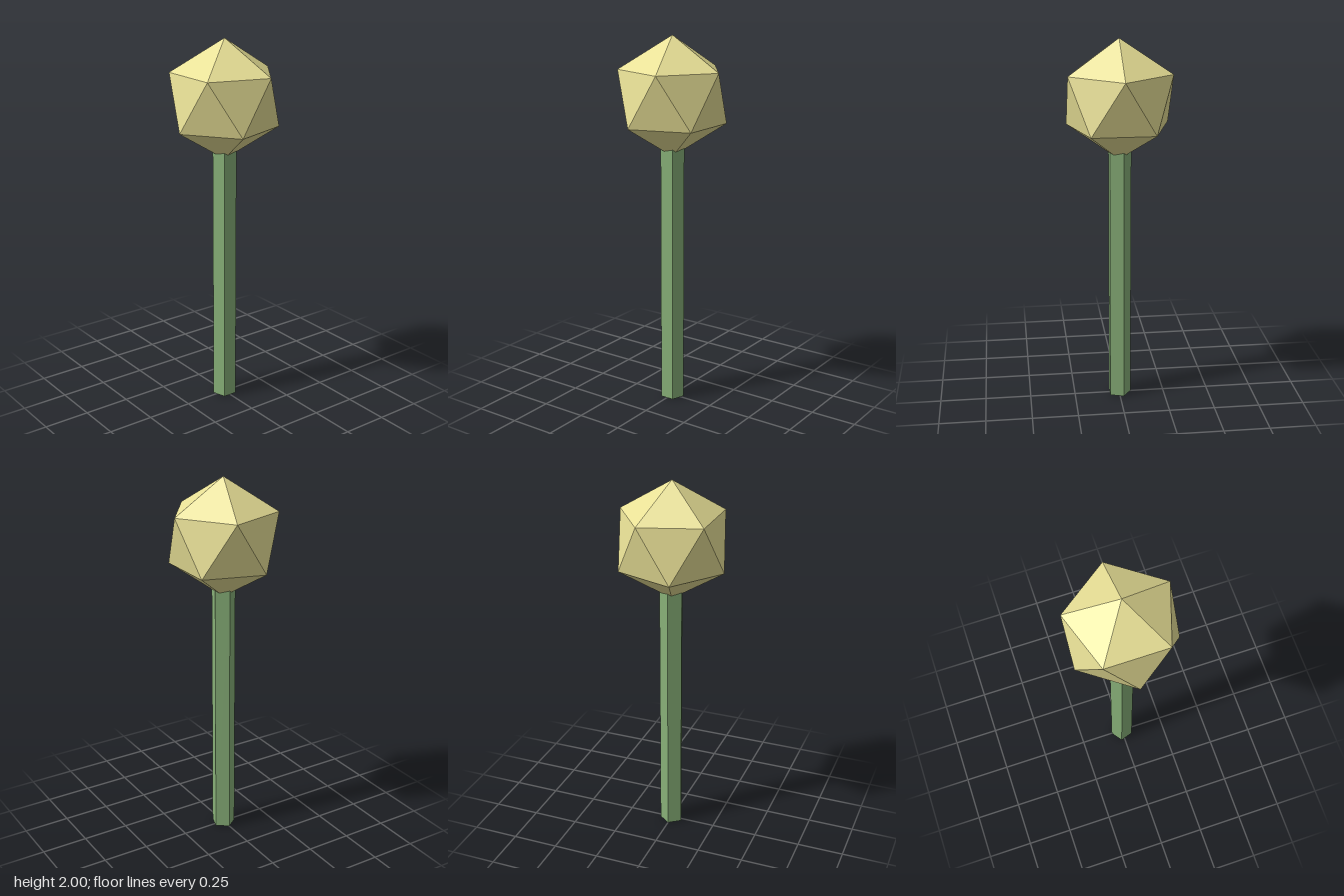
import * as THREE from 'three';

export function createModel() {
  const group = new THREE.Group();
  const add = (name, geometry, color, y) => {
    const mesh = new THREE.Mesh(
      geometry,
      new THREE.MeshStandardMaterial({ color, flatShading: true })
    );
    mesh.name = name;
    mesh.position.y = y;
    group.add(mesh);
  };

  // Five-sided stem with a flat face to the front, its top sunk into the head
  const stemHeight = 1.45;
  add('stem', new THREE.CylinderGeometry(0.065, 0.065, stemHeight, 5, 1, false, Math.PI),
    0x88b078, stemHeight / 2);

  // Faceted head, turned so one corner points straight up
  const radius = 0.317;
  const golden = (1 + Math.sqrt(5)) / 2;
  const head = new THREE.IcosahedronGeometry(radius, 0).rotateZ(-Math.atan(1 / golden));
  add('head', head, 0xe8e096, 2 - radius);

  return group;
}
